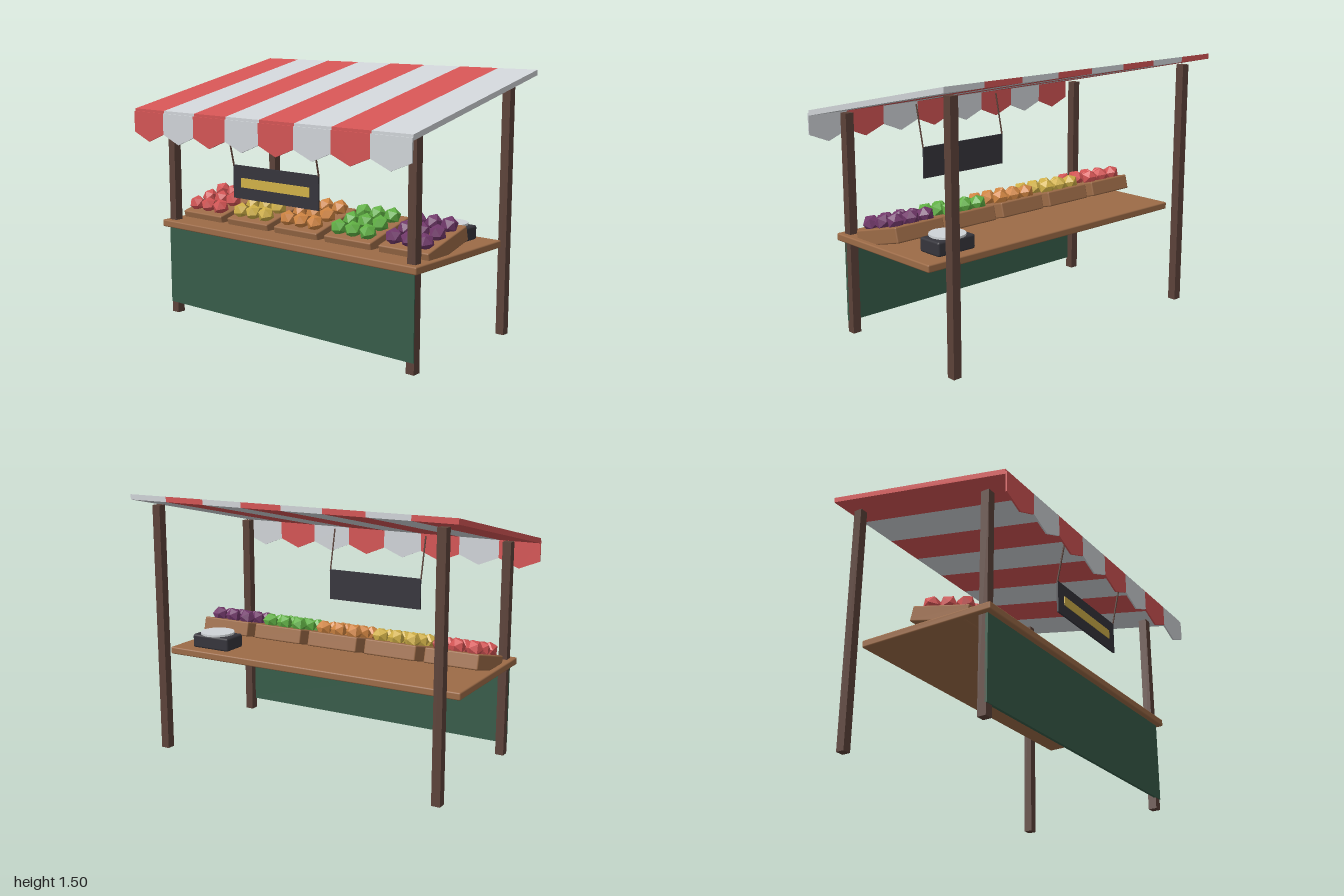
import * as THREE from 'three';
import { RoundedBoxGeometry } from 'three/addons/geometries/RoundedBoxGeometry.js';

const mat = (name, color) => {
  const m = new THREE.MeshStandardMaterial({ color });
  m.name = name;
  return m;
};

export function createModel() {
  const red = mat('red', 0xd35454), white = mat('paleGrey', 0xcfd3d7);
  const darkWood = mat('darkWood', 0x5c4239), wood = mat('wood', 0x9c6b47);
  const green = mat('darkGreen', 0x375c49), charcoal = mat('charcoal', 0x36353c);
  const yellow = mat('yellow', 0xd0b048), orange = mat('orange', 0xd08542);
  const leaf = mat('brightGreen', 0x60b044), purple = mat('purple', 0x71386a);

  const model = new THREE.Group();
  model.name = 'marketStall';

  const add = (name, geometry, material, x = 0, y = 0, z = 0, parent = model) => {
    const mesh = new THREE.Mesh(geometry, material);
    mesh.name = name;
    mesh.position.set(x, y, z);
    parent.add(mesh);
    return mesh;
  };
  const box = (name, w, h, d, material, x, y, z, parent) =>
    add(name, new THREE.BoxGeometry(w, h, d), material, x, y, z, parent);

  // Posts, taller at the back
  for (const x of [-0.88, 0.88]) {
    box('frontPost', 0.05, 1.25, 0.05, darkWood, x, 0.625, 0.385);
    box('backPost', 0.05, 1.44, 0.05, darkWood, x, 0.72, -0.49);
  }

  // Counter and front panel
  add('counter', new RoundedBoxGeometry(1.87, 0.042, 0.81, 2, 0.008), wood, 0, 0.555, 0.042);
  box('frontPanel', 1.81, 0.475, 0.016, green, 0, 0.302, 0.407);

  // Striped canopy: sloping slab strips with a pointed flap on each
  const slope = new THREE.Shape([[-0.575, 1.223], [0.585, 1.472], [0.585, 1.502], [-0.575, 1.253]]
    .map(([u, y]) => new THREE.Vector2(u, y)));
  const strip = new THREE.ExtrudeGeometry(slope, { depth: 0.25, bevelEnabled: false });
  strip.translate(0, 0, -0.125).rotateY(Math.PI / 2);
  const outline = new THREE.Shape([[-0.125, 1.238], [-0.125, 1.117], [0, 1.066], [0.125, 1.117], [0.125, 1.238]]
    .map(([x, y]) => new THREE.Vector2(x, y)));
  const flap = new THREE.ExtrudeGeometry(outline, { depth: 0.009, bevelEnabled: false });
  for (let i = 0; i < 8; i++) {
    const x = -0.875 + i * 0.25, m = i % 2 ? white : red;
    add('canopyStripe', strip, m, x);
    add('canopyFlap', flap, m, x, 0, 0.576);
  }

  // Hanging sign on two slanted rods
  box('signBoard', 0.625, 0.187, 0.01, charcoal, 0, 0.878, 0.454);
  box('signStripe', 0.5, 0.053, 0.005, yellow, 0, 0.876, 0.4605);
  for (const x of [-0.312, 0.312]) {
    const path = new THREE.LineCurve3(new THREE.Vector3(x, 0.965, 0.454), new THREE.Vector3(x, 1.22, 0.511));
    add('signRod', new THREE.TubeGeometry(path, 1, 0.005, 6), darkWood);
  }

  // Tilted crates, each with a 3 by 3 layer of produce
  const crateGeo = new RoundedBoxGeometry(0.32, 0.086, 0.368, 2, 0.008);
  const fruitGeo = new THREE.IcosahedronGeometry(0.05, 0);
  [red, yellow, orange, leaf, purple].forEach((m, i) => {
    const crate = new THREE.Group();
    crate.name = 'produceCrate';
    crate.position.set((i - 2) * 0.373, 0.617, 0.113);
    crate.rotation.x = 0.25;
    add('crate', crateGeo, wood, 0, 0, 0, crate);
    for (let row = -1; row <= 1; row++) {
      for (let col = -1; col <= 1; col++) {
        const fruit = add('fruit', fruitGeo, m, col * 0.1, 0.069, row * 0.112, crate);
        fruit.rotation.y = Math.PI / 2 + row * 0.5 + col * 0.3;
      }
    }
    model.add(crate);
  });

  // Weighing scale at the back of the counter
  add('scaleBody', new RoundedBoxGeometry(0.25, 0.08, 0.156, 2, 0.012), charcoal, 0.692, 0.616, -0.222);
  add('scalePan', new THREE.CylinderGeometry(0.1, 0.1, 0.012, 20), white, 0.692, 0.664, -0.22);

  return model;
}
